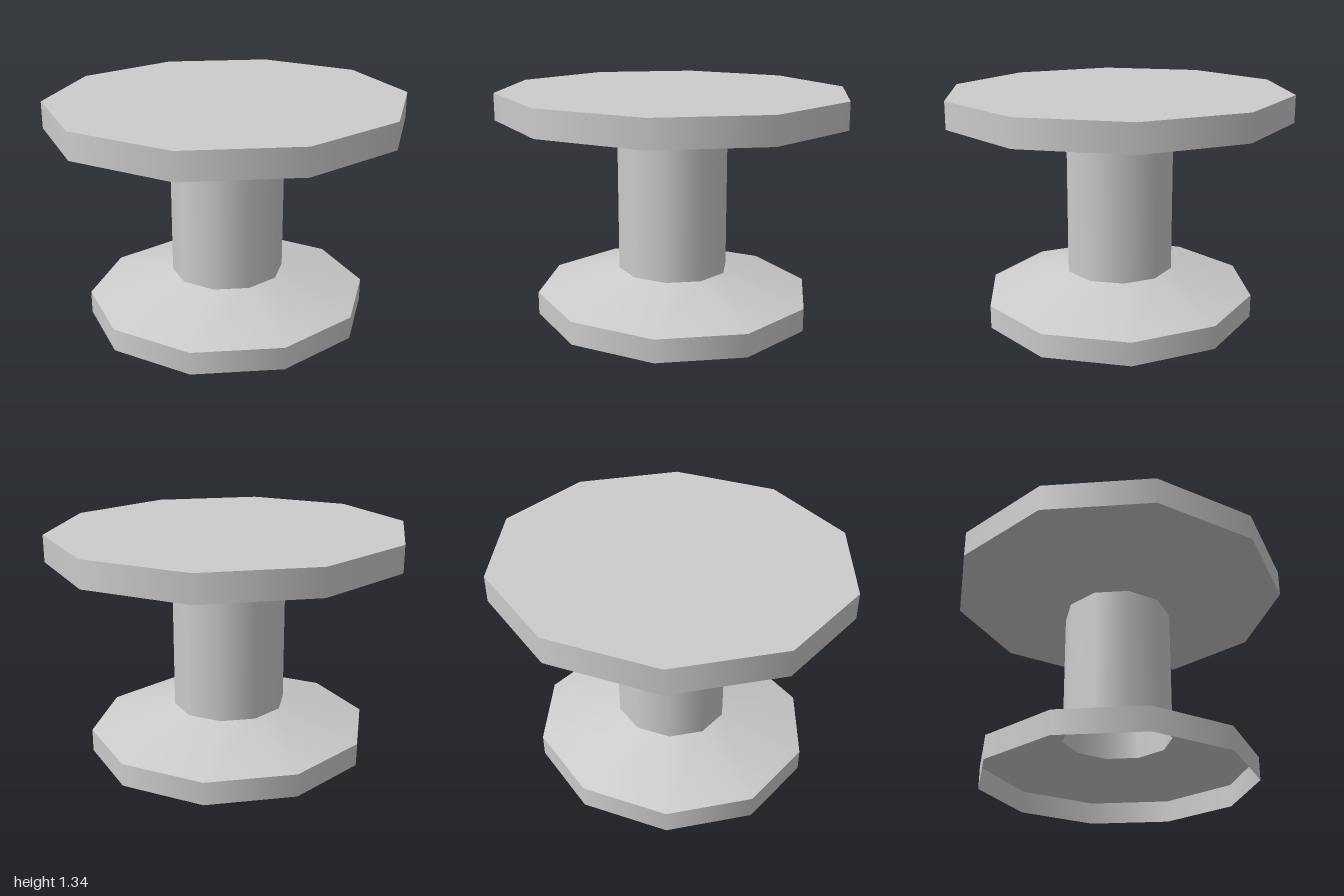
import * as THREE from 'three';

const SIDES = 10;
// stretches each decagon so its width equals its depth
const STRETCH = 1 / Math.sin(THREE.MathUtils.degToRad(72));

export function createModel() {
  const group = new THREE.Group();
  group.name = 'pedestalTable';
  const grey = new THREE.MeshStandardMaterial({ color: 0xcccccc, side: THREE.DoubleSide });
  grey.name = 'lightGrey';

  // one ten-sided open band, smooth around and sharp at its rims
  function band(name, bottomRadius, topRadius, y0, y1) {
    const geometry = new THREE.CylinderGeometry(topRadius, bottomRadius, y1 - y0, SIDES, 1, true);
    geometry.scale(STRETCH, 1, 1);
    geometry.translate(0, (y0 + y1) / 2, 0);
    const mesh = new THREE.Mesh(geometry, grey);
    mesh.name = name;
    group.add(mesh);
  }

  // hollow foot, open underneath
  band('footRim', 0.8, 0.8, 0, 0.135);
  band('footSlope', 0.8, 0.32, 0.135, 0.27);

  // hollow column
  band('column', 0.32, 0.32, 0.27, 1.07);

  // table top
  band('topUnderside', 0.32, 1, 1.07, 1.18);
  band('topRim', 1, 1, 1.18, 1.335);

  // flat surface, with a corner at the front and the back
  const disc = new THREE.CircleGeometry(1, SIDES, Math.PI / 2);
  disc.rotateX(-Math.PI / 2);
  disc.scale(STRETCH, 1, 1);
  disc.translate(0, 1.335, 0);
  const surface = new THREE.Mesh(disc, grey);
  surface.name = 'topSurface';
  group.add(surface);

  return group;
}
